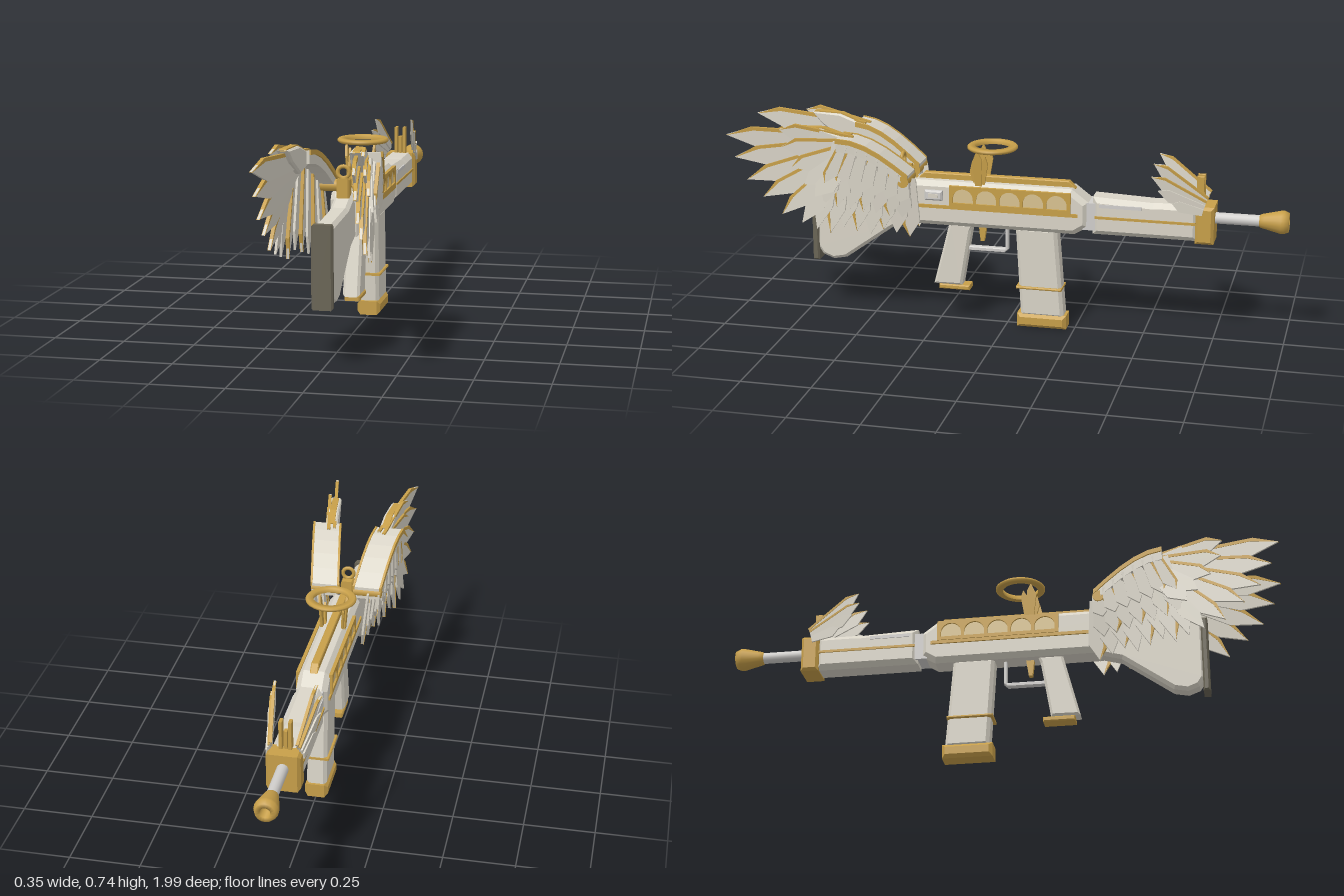
import * as THREE from 'three';

const mat = (name, color) => Object.assign(new THREE.MeshStandardMaterial({ color }), { name });
const lerp = THREE.MathUtils.lerp;

export function createModel() {
  const root = new THREE.Group();
  root.name = 'wingedRifle';
  const white = mat('ivory white', 0xd9d4c7);
  const steel = mat('pale steel', 0xd0cecb);
  const gold = mat('gold', 0xc79f49);
  const paleGold = mat('pale gold', 0xd8c290);
  const dark = mat('dark rubber', 0x6a6556);

  const add = (name, geo, m, parent = root) => {
    const mesh = new THREE.Mesh(geo, m);
    mesh.name = name;
    parent.add(mesh);
    return mesh;
  };

  // Side profile of [z, y] points, extruded across x with chamfered edges
  const slab = (pts, halfW, bevel = 0, holes = []) => {
    const shape = new THREE.Shape(pts.map(p => new THREE.Vector2(...p)));
    shape.holes.push(...holes);
    const depth = 2 * (halfW - bevel);
    const geo = new THREE.ExtrudeGeometry(shape, {
      depth, bevelEnabled: bevel > 0, bevelSize: bevel, bevelThickness: bevel,
      bevelOffset: -bevel, bevelSegments: 1, curveSegments: 8,
    });
    return geo.translate(0, 0, -depth / 2).rotateY(-Math.PI / 2);
  };
  const rect = (z0, z1, y0, y1) => [[z0, y0], [z1, y0], [z1, y1], [z0, y1]];
  const block = (name, z0, z1, y0, y1, halfW, m, bevel = 0, x = 0) =>
    add(name, slab(rect(z0, z1, y0, y1), halfW, bevel).translate(x, 0, 0), m);

  // Shift x by a rule of z and y, then make the faces flat again
  const shear = (geo, rule) => {
    const p = geo.attributes.position;
    for (let i = 0; i < p.count; i++) p.setX(i, p.getX(i) + rule(p.getZ(i), p.getY(i)));
    geo.computeVertexNormals();
    return geo;
  };

  // Feather from root a to tip b, each [z, y, x], with a gold leading edge
  const blade = [[0, -.3], [.72, -.5], [1, .12], [.8, .5], [0, .32]];
  const trim = [[0, .2], [.78, .36], [1, .1], [.8, .52], [0, .36]];
  const feather = (parent, a, b, width, { edge = true, m = white, thick = .004 } = {}) => {
    const dz = b[0] - a[0], dy = b[1] - a[1], len = Math.hypot(dz, dy);
    const map = ([u, v]) => [a[0] + dz * u - dy / len * v * width, a[1] + dy * u + dz / len * v * width];
    const bend = (z, y) => lerp(a[2], b[2], ((z - a[0]) * dz + (y - a[1]) * dy) / (len * len));
    add('feather', shear(slab(blade.map(map), thick), bend), m, parent);
    if (edge) add('featherTrim', shear(slab(trim.map(map), thick + .002), bend), gold, parent);
  };

  // Receiver and its top rail
  add('receiver', slab([[.35, .37], [-.25, .37], [-.3, .4], [-.3, .49], [-.24, .535], [.33, .535], [.36, .5]], .055, .018), white);
  add('topRail', slab([[.33, .53], [-.25, .53], [-.225, .556], [.305, .556]], .014, .003), gold);
  for (const s of [1, -1]) {
    block('receiverSeam', -.265, .335, .438, .45, .004, gold, 0, s * .057);
    // Arcade panel with five arched openings
    const holes = [];
    for (let i = 0; i < 5; i++) {
      const z = -.19 + i * .085, h = new THREE.Path();
      h.moveTo(z - .037, .463);
      h.lineTo(z + .037, .463);
      h.lineTo(z + .037, .478);
      h.absarc(z, .478, .037, 0, Math.PI, false);
      h.closePath();
      holes.push(h);
    }
    add('arcadeFrame', slab(rect(-.24, .2, .45, .525), .006, 0, holes).translate(s * .058, 0, 0), gold);
    block('arcadeInlay', -.236, .196, .455, .52, .004, paleGold, 0, s * .053);
    block('handguardSeam', -.68, -.325, .437, .446, .004, gold, 0, s * .05);
    block('handguardInset', -.49, -.34, .478, .49, .003, steel, 0, s * .05);
  }
  block('sideCatch', .225, .29, .468, .505, .012, steel, .006, .058);
  block('sideCatchInset', .24, .275, .48, .494, .003, white, 0, .07);

  // Handguard, front block, barrel and muzzle
  block('neck', -.34, -.28, .39, .49, .043, steel);
  add('handguard', slab([[-.315, .375], [-.69, .375], [-.69, .505], [-.56, .505], [-.53, .503], [-.315, .512]], .05, .018), white);
  block('frontBlock', -.745, -.68, .37, .505, .058, gold, .01);
  for (const s of [1, -1]) block('frontSightProng', -.705, -.678, .5, .607, .006, gold, .002, s * .016);
  block('frontSightPost', -.7, -.68, .5, .57, .006, gold);
  const barrel = add('barrel', new THREE.CylinderGeometry(.02, .02, .2, 16).rotateX(Math.PI / 2), steel);
  barrel.position.set(0, .455, -.83);
  const nozzle = [[.02, -.005], [.024, 0], [.027, .012], [.041, .07], [.041, .08], [.034, .097], [.018, .097], [.016, .06], [0, .06]];
  const muzzle = add('muzzle', new THREE.LatheGeometry(nozzle.map(p => new THREE.Vector2(...p)), 16).rotateX(-Math.PI / 2), gold);
  muzzle.material.side = THREE.DoubleSide;
  muzzle.position.set(0, .455, -.903);

  // Stock and butt plate
  add('stock', slab([[.33, .37], [.42, .345], [.6, .215], [.65, .205], [.69, .22], [.71, .25], [.71, .475], [.46, .49], [.36, .525], [.33, .52]], .033, .012), white);
  block('buttPlate', .703, .727, .2, .482, .036, dark, .006);

  // Grip, trigger and guard
  add('grip', slab([[.21, .375], [.12, .375], [.13, .35], [.165, .14], [.27, .14]], .03, .009), white);
  block('gripBase', .137, .25, .122, .14, .028, gold, .004);
  add('triggerGuard', slab([[.15, .272], [.01, .272], [-.005, .285], [-.005, .375], [.007, .375], [.007, .287], [.14, .287]], .012, .003), steel);
  add('trigger', slab([[.105, .375], [.075, .375], [.085, .31], [.098, .31], [.102, .34]], .01), gold);

  // Magazine
  add('magazine', slab([[-.035, .38], [-.185, .38], [-.213, .045], [-.055, .045]], .036, .012), white);
  block('magazineBand', -.206, -.04, .15, .159, .045, gold, .003);
  block('magazineBase', -.222, -.042, .003, .054, .042, gold, .012);

  // Halo sight on four leaf supports
  const halo = add('haloSight', new THREE.LatheGeometry(
    [[.064, -.008], [.084, -.008], [.09, -.003], [.09, .003], [.084, .008], [.064, .008], [.064, -.008]]
      .map(p => new THREE.Vector2(...p)), 32), gold);
  halo.position.set(0, .662, .055);
  const leaves = new THREE.Group();
  leaves.name = 'haloSupports';
  root.add(leaves);
  for (const s of [1, -1]) {
    const opt = { edge: false, m: gold };
    feather(leaves, [.095, .5, s * .04], [.105, .658, s * .05], .035, opt);
    feather(leaves, [.09, .5, s * .035], [.075, .635, s * .043], .03, opt);
    feather(leaves, [.1, .5, s * .03], [.125, .61, s * .035], .025, opt);
  }

  // Rear ring sight
  block('rearSightBase', .355, .4, .505, .578, .022, gold, .005);
  add('rearSightRing', new THREE.TorusGeometry(.02, .007, 8, 20), gold).position.set(0, .599, .386);

  // Small wings beside the front sight
  for (const s of [1, -1]) {
    const wing = new THREE.Group();
    wing.name = s > 0 ? 'leftFrontWing' : 'rightFrontWing';
    root.add(wing);
    [[-.53, .652, .07], [-.525, .608, .082], [-.55, .56, .086], [-.6, .515, .078]].forEach(([z, y, x], i) =>
      feather(wing, [-.715 + i * .003, .525 - i * .012, s * (.044 + i * .006)], [z, y, s * x], .05 - i * .004, { edge: i < 2, thick: .003 }));
  }

  // Large wings
  const armY = t => .57 + .13 * Math.sin(t * Math.PI / 2);
  const armZ = t => .335 + .25 * t;
  const steps = [0, .2, .4, .6, .8, 1];
  const arc = (lo, hi) => [
    ...steps.map(t => [armZ(t), armY(t) + hi]),
    ...steps.map(t => [armZ(t), armY(t) + lo]).reverse(),
  ];
  const lean = z => .04 * (z - .335) / .25;
  for (const s of [1, -1]) {
    const wing = new THREE.Group();
    wing.name = s > 0 ? 'leftWing' : 'rightWing';
    root.add(wing);
    add('wingArm', shear(slab(arc(-.045, 0), .048), z => s * (.079 + lean(z))), white, wing);
    for (const x of [.029, .129])
      add('wingArmTrim', shear(slab(arc(-.014, .003), .004), z => s * (x + lean(z))), gold, wing);
    const pivot = add('wingPivot', new THREE.CylinderGeometry(.021, .021, .104, 14).rotateZ(Math.PI / 2), gold, wing);
    pivot.position.set(s * .079, .548, .352);

    // Hanging feathers: long inner, middle and short outer rows
    for (let i = 0; i < 8; i++) {
      const t = i / 7, z = armZ(t), y = armY(t) - .02;
      feather(wing, [z, y, s * (.085 + .05 * t)], [z + .005 + .07 * t, .325 + .012 * (i % 3) + .02 * t, s * (.062 + .088 * t)], .062, { edge: i % 2 === 0 });
      if (i < 7) {
        feather(wing, [z + .015, y, s * (.108 + .042 * t)], [z + .025 + .07 * t, .405 + .05 * t, s * (.09 + .065 * t)], .055, { edge: i % 2 === 1 });
        feather(wing, [z + .01, y, s * (.124 + .04 * t)], [z + .025 + .06 * t, .47 + .075 * t, s * (.118 + .045 * t)], .05, { edge: i > 4 });
      }
    }

    // Flight feathers fanning to the rear from the wrist
    [[.995, .683], [.965, .602], [.92, .522], [.86, .462], [.79, .402], [.715, .375]].forEach(([z, y], i) =>
      feather(wing, [.55, .675 - i * .008, s * (.085 + i * .009)], [z, y, s * (.16 - i * .001)], .078 - i * .003, { edge: i < 5 }));
    // Shorter coverts over the fan
    [[.8, .712], [.79, .65], [.75, .58], [.7, .52], [.66, .48]].forEach(([z, y], i) =>
      feather(wing, [.54, .675 - i * .008, s * (.105 + i * .008)], [z, y, s * (.15 + i * .004)], .07, { edge: i < 3 }));
    add('wingWrist', shear(slab([[.56, .65], [.58, .7], [.65, .724], [.76, .724], [.72, .68], [.64, .63]], .022, .006),
      z => s * (.1 + .1 * (z - .56))), white, wing);
    add('wingWristTrim', shear(slab([[.58, .698], [.65, .722], [.76, .722], [.75, .728], [.645, .728], [.575, .704]], .012),
      z => s * (.1 + .1 * (z - .56))), gold, wing);
  }
  return root;
}
